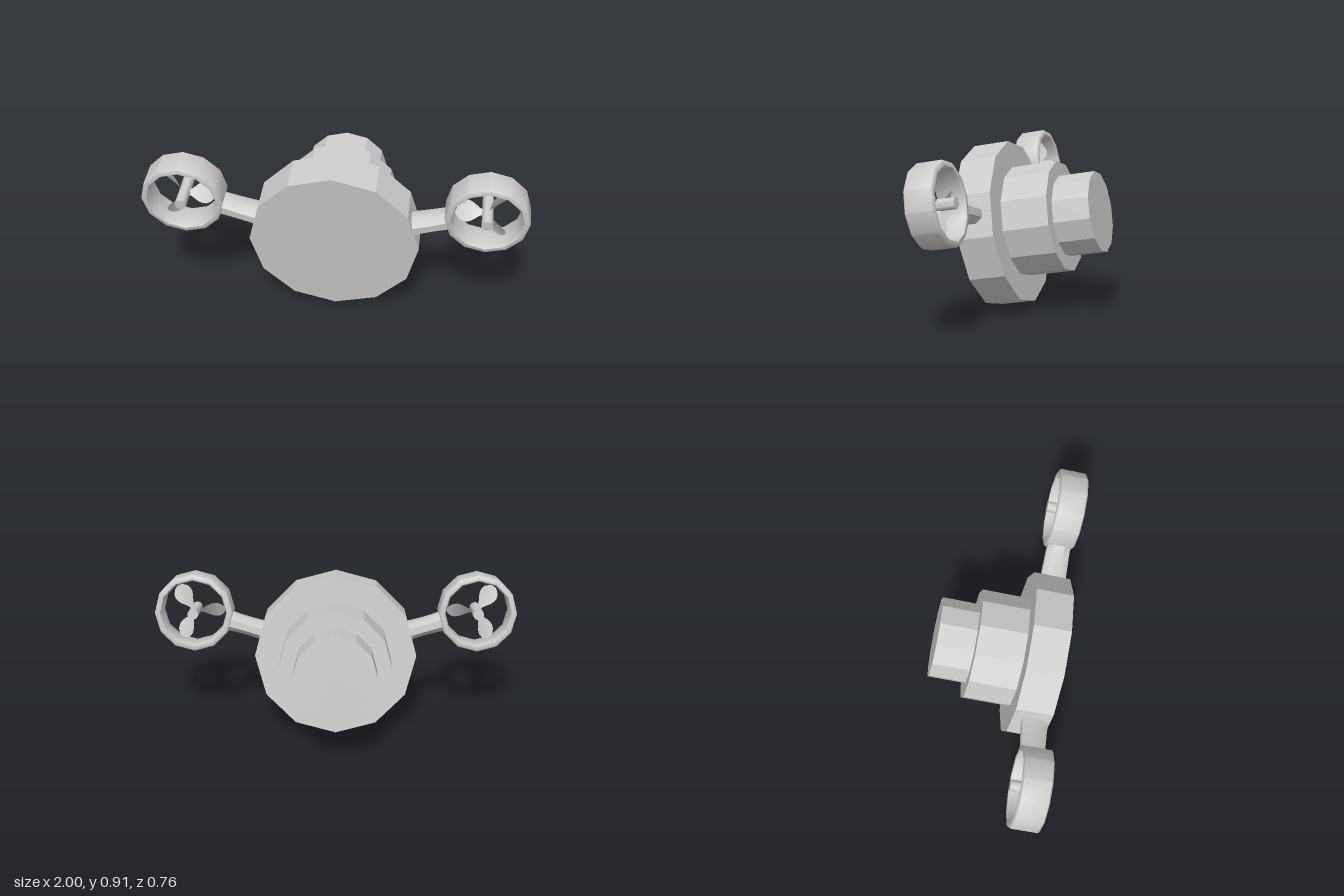
import * as THREE from 'three';
import { toCreasedNormals } from 'three/addons/utils/BufferGeometryUtils.js';

const flat = new THREE.MeshStandardMaterial({ color: 0xcccccc, flatShading: true });
const smooth = new THREE.MeshStandardMaterial({ color: 0xcccccc });
const thin = new THREE.MeshStandardMaterial({ color: 0xcccccc, side: THREE.DoubleSide });

function add(parent, name, geometry, material) {
  const mesh = new THREE.Mesh(geometry, material);
  mesh.name = name;
  parent.add(mesh);
  return mesh;
}

// Prism along z between two depths, with a corner pointing up
function drum(radius, front, back, sides) {
  return new THREE.CylinderGeometry(radius, radius, front - back, sides)
    .rotateX(Math.PI / 2).translate(0, 0, (front + back) / 2);
}

// Propeller blade along +x: narrow root, broad rounded tip, twisted pitch
function bladeGeometry(side) {
  const g = new THREE.PlaneGeometry(1, 1, 7, 4);
  const p = g.attributes.position;
  const widths = [0.016, 0.018, 0.032, 0.047, 0.055, 0.056, 0.048, 0.026];
  for (let i = 0; i < p.count; i++) {
    const t = p.getX(i) + 0.5;
    const v = p.getY(i) * 2;
    const w = widths[Math.round(t * 7)];
    const pitch = side * (0.95 - 0.4 * t);
    const r = 0.015 + 0.153 * t - 0.008 * v * v * t;
    p.setXYZ(i, r, v * w * Math.cos(pitch), v * w * Math.sin(pitch));
  }
  g.computeVertexNormals();
  return g;
}

function createThruster(side) {
  const thruster = new THREE.Group();
  thruster.name = side > 0 ? 'leftThruster' : 'rightThruster';

  // Duct ring with bevelled lips
  const profile = [
    [0.179, -0.14], [0.179, -0.012], [0.187, 0], [0.207, 0], [0.215, -0.008],
    [0.215, -0.144], [0.207, -0.152], [0.187, -0.152], [0.179, -0.14],
  ].map(([r, z]) => new THREE.Vector2(r, z));
  const ring = new THREE.LatheGeometry(profile.reverse(), 12).rotateX(Math.PI / 2);
  // Orient the wall outward whichever way the profile runs
  const a = new THREE.Vector3(), b = new THREE.Vector3(), c = new THREE.Vector3();
  let volume = 0;
  const ix = ring.index, pos = ring.attributes.position;
  for (let i = 0; i < ix.count; i += 3) {
    a.fromBufferAttribute(pos, ix.getX(i));
    b.fromBufferAttribute(pos, ix.getX(i + 1));
    c.fromBufferAttribute(pos, ix.getX(i + 2));
    volume += a.dot(b.cross(c));
  }
  if (volume < 0) ring.setIndex(Array.from(ix.array).reverse());
  add(thruster, 'ductRing', toCreasedNormals(ring, 0.85), smooth);

  // Hub shaft and three blades
  add(thruster, 'hub', toCreasedNormals(drum(0.03, 0.025, -0.178, 10), 0.8), smooth);
  for (let i = 0; i < 3; i++) {
    const blade = add(thruster, 'blade', bladeGeometry(side), thin);
    blade.rotation.z = (side > 0 ? Math.PI : 0) + (i * Math.PI * 2) / 3 - side * 0.05;
    blade.position.z = -0.076;
  }
  return thruster;
}

// Strut lofted along +x, flaring slightly at both ends
function strutGeometry() {
  const g = new THREE.CylinderGeometry(1, 1, 1, 8, 4).rotateY(Math.PI / 8).rotateZ(-Math.PI / 2);
  const p = g.attributes.position;
  for (let i = 0; i < p.count; i++) {
    const t = p.getX(i) + 0.5;
    const flare = Math.abs(t - 0.5) * 2;
    p.setXYZ(i, 0.39 + 0.235 * t,
      p.getY(i) * (0.05 + 0.007 * flare * flare),
      p.getZ(i) * (0.075 - 0.008 * t) - 0.077);
  }
  return toCreasedNormals(g, 0.7);
}

export function createModel() {
  const model = new THREE.Group();
  model.name = 'model';
  const body = new THREE.Group();
  body.name = 'tiltedBody';
  body.position.set(0, 0.442, 0.3025);
  body.rotation.x = THREE.MathUtils.degToRad(10);
  model.add(body);

  // Three stacked drums, stepping down towards the back
  add(body, 'frontDrum', drum(0.446, 0, -0.198, 12), flat);
  add(body, 'middleDrum', drum(0.302, -0.18, -0.452, 12), flat);
  add(body, 'rearDrum', drum(0.22, -0.43, -0.652, 12), flat);

  // Mirrored struts and ducted propellers
  const height = 0.228, reach = 0.785;
  const angle = Math.atan2(height, reach);
  for (const side of [1, -1]) {
    const strut = add(body, 'strut', strutGeometry(), smooth);
    strut.rotation.z = side > 0 ? angle : Math.PI - angle;
    const thruster = createThruster(side);
    thruster.position.set(side * reach, height, 0);
    body.add(thruster);
  }
  return model;
}
